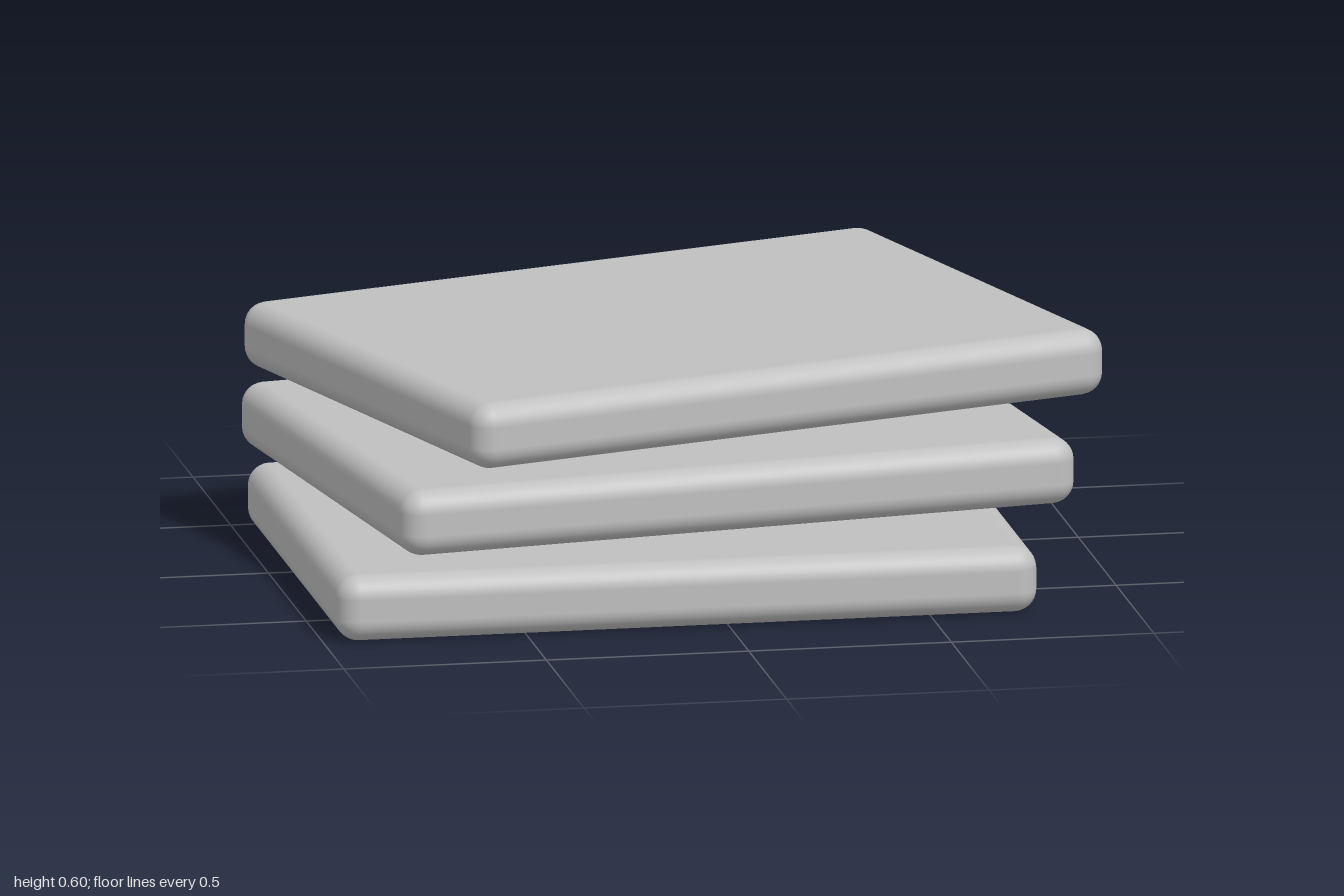
import * as THREE from 'three';
import { RoundedBoxGeometry } from 'three/addons/geometries/RoundedBoxGeometry.js';

const WIDTH = 1.73, THICKNESS = 0.164, DEPTH = 1.265, ROUNDING = 0.055;

export function createModel() {
  const model = new THREE.Group();
  model.name = 'slabStack';

  const grey = new THREE.MeshStandardMaterial({ color: 0xc0c0c0 });
  grey.name = 'plain grey';

  // One rounded slab, repeated with a growing twist and shift
  const slab = new RoundedBoxGeometry(WIDTH, THICKNESS, DEPTH, 4, ROUNDING);
  ['bottomSlab', 'middleSlab', 'topSlab'].forEach((name, i) => {
    const mesh = new THREE.Mesh(slab, grey);
    mesh.name = name;
    const shift = (2 - i) / 2;
    mesh.position.set(-0.102 * shift, THICKNESS / 2 + 0.218 * i, 0.132 * shift);
    mesh.rotation.y = 0.15 * i;
    model.add(mesh);
  });

  return model;
}
